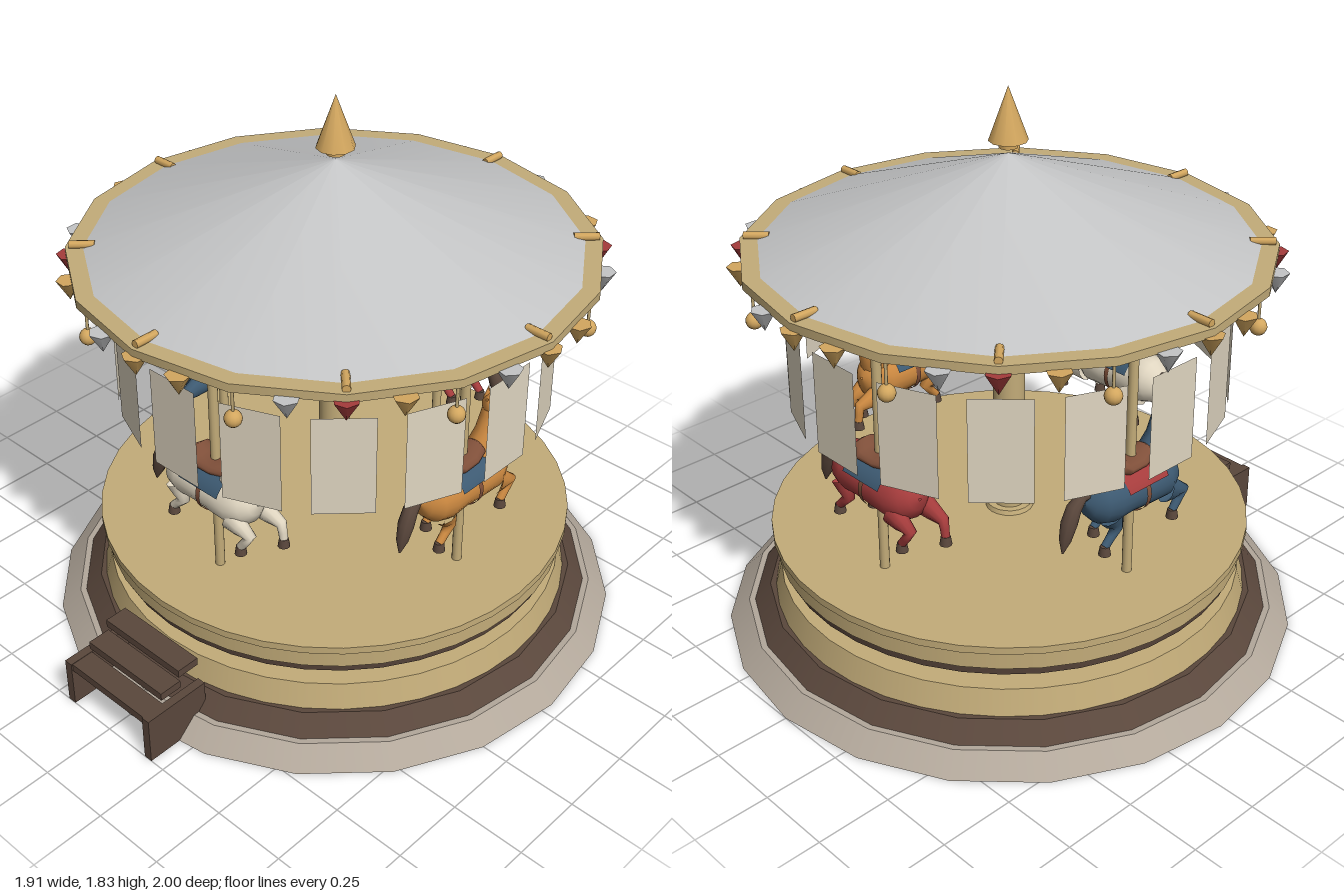
import * as THREE from 'three';

const mat = (name, color, side = THREE.FrontSide) => {
  const m = new THREE.MeshStandardMaterial({ color, side });
  m.name = name;
  return m;
};
const stone = mat('stone', 0xb3a89b);
const darkWood = mat('darkWood', 0x5a473c);
const gold = mat('paleGold', 0xc3ac79);
const brass = mat('brass', 0xd3a75f);
const silver = mat('silver', 0xc4c5c6);
const cream = mat('cream', 0xe0d6c1, THREE.DoubleSide);
const red = mat('red', 0xa53c3c, THREE.DoubleSide);
const blue = mat('blue', 0x3d5a72, THREE.DoubleSide);
const chestnut = mat('chestnut', 0xcb8840);
const leather = mat('leather', 0x80503a, THREE.DoubleSide);

function add(parent, name, geo, material, x = 0, y = 0, z = 0) {
  const m = new THREE.Mesh(geo, material);
  m.name = name;
  m.position.set(x, y, z);
  parent.add(m);
  return m;
}

// upright drum or cone between two heights
function drum(parent, name, rBottom, rTop, y0, y1, sides, material, x = 0, z = 0) {
  const geo = new THREE.CylinderGeometry(rTop, rBottom, y1 - y0, sides);
  return add(parent, name, geo, material, x, (y0 + y1) / 2, z);
}

// repeats a part around the vertical axis; the part is built on the +z side
function around(parent, name, count, build, offset = 0) {
  for (let i = 0; i < count; i++) {
    const g = new THREE.Group();
    g.name = name;
    g.rotation.y = ((i + offset) / count) * Math.PI * 2;
    build(g, i);
    parent.add(g);
  }
}

// smooth skin over elliptical sections [x, y, radius in plane, radius in z, z]
function loft(sections, sides = 14) {
  const pos = [], index = [], last = sections.length - 1;
  sections.forEach(([x, y, a, b = a, z = 0], i) => {
    const p = sections[Math.max(i - 1, 0)], q = sections[Math.min(i + 1, last)];
    const t = new THREE.Vector2(q[0] - p[0], q[1] - p[1]).normalize();
    for (let j = 0; j < sides; j++) {
      const f = (j / sides) * Math.PI * 2, c = Math.cos(f) * a;
      pos.push(x - t.y * c, y + t.x * c, z + Math.sin(f) * b);
      if (i < last) {
        const k = i * sides, n = (j + 1) % sides;
        index.push(k + j, k + n, k + sides + n, k + j, k + sides + n, k + sides + j);
      }
    }
  });
  const g = new THREE.BufferGeometry();
  g.setAttribute('position', new THREE.Float32BufferAttribute(pos, 3));
  g.setIndex(index);
  g.computeVertexNormals();
  return g;
}

// open band wrapped over the horse's barrel, spanning an angle from the top
function wrap(width, ry, rz, half) {
  const g = new THREE.CylinderGeometry(1, 1, width, 28, 1, true, Math.PI / 2 - half, half * 2);
  g.rotateZ(Math.PI / 2);
  // keep the opening underneath
  g.computeBoundingBox();
  if (g.boundingBox.max.y < 0.99) g.rotateX(Math.PI);
  return g.scale(1, ry, rz);
}

// galloping horse facing +x
function makeHorse(coat, cloth) {
  const h = new THREE.Group();
  h.name = 'horse';
  add(h, 'body', loft([
    [-0.197, 0.705, 0.004], [-0.185, 0.703, 0.045, 0.042], [-0.155, 0.7, 0.074, 0.072],
    [-0.11, 0.698, 0.085, 0.084], [-0.04, 0.692, 0.075, 0.079], [0.04, 0.687, 0.077, 0.08],
    [0.11, 0.692, 0.085, 0.085], [0.155, 0.702, 0.066, 0.064], [0.177, 0.706, 0.035, 0.035],
    [0.184, 0.707, 0.004]], 20), coat);
  add(h, 'neck', loft([
    [0.07, 0.69, 0.075, 0.06], [0.11, 0.76, 0.07, 0.055], [0.135, 0.82, 0.053, 0.043],
    [0.142, 0.88, 0.041, 0.034], [0.14, 0.925, 0.026, 0.025], [0.138, 0.938, 0.004]]), coat);
  add(h, 'head', loft([
    [0.112, 0.938, 0.004], [0.124, 0.927, 0.028, 0.026], [0.145, 0.907, 0.04, 0.035],
    [0.168, 0.876, 0.031, 0.028], [0.186, 0.85, 0.024, 0.023], [0.196, 0.834, 0.018, 0.018],
    [0.199, 0.829, 0.003]]), coat);
  for (const s of [-1, 1]) {
    const ear = add(h, 'ear', new THREE.ConeGeometry(0.012, 0.045, 8), coat, 0.14, 0.95, s * 0.02);
    ear.rotation.z = -0.2;
  }
  add(h, 'tail', loft([
    [-0.175, 0.73, 0.012], [-0.21, 0.735, 0.018], [-0.242, 0.71, 0.025], [-0.262, 0.665, 0.027],
    [-0.277, 0.615, 0.02], [-0.288, 0.57, 0.003]], 10), darkWood);

  // legs: hip, knee and ankle, each ending in a hoof
  const legs = [
    [-0.13, 0.66, -0.105, 0.605, -0.155, 0.555, 1], [-0.12, 0.66, -0.055, 0.61, -0.105, 0.558, -1],
    [0.11, 0.65, 0.195, 0.615, 0.15, 0.555, 1], [0.13, 0.66, 0.235, 0.635, 0.243, 0.58, -1]];
  for (const [x0, y0, x1, y1, x2, y2, s] of legs) {
    const z = s * 0.048;
    add(h, 'leg', loft([
      [x0, y0, 0.045, 0.035, z], [(x0 + x1) / 2, (y0 + y1) / 2, 0.033, 0.027, z],
      [x1, y1, 0.02, 0.019, z], [(x1 + x2) / 2, (y1 + y2) / 2, 0.015, 0.015, z],
      [x2, y2, 0.014, 0.014, z]], 10), coat);
    drum(h, 'hoof', 0.02, 0.015, y2 - 0.026, y2 + 0.004, 10, darkWood, x2, z);
  }

  // saddle
  add(h, 'saddleCloth', wrap(0.17, 0.09, 0.09, 1.15), cloth, 0, 0.687, 0);
  add(h, 'girth', wrap(0.018, 0.081, 0.084, Math.PI), leather, 0, 0.689, 0);
  add(h, 'saddleSeat', loft([
    [-0.09, 0.805, 0.004], [-0.08, 0.798, 0.03, 0.045], [-0.045, 0.778, 0.025, 0.056],
    [0.02, 0.776, 0.023, 0.052], [0.065, 0.79, 0.03, 0.04], [0.08, 0.8, 0.004]]), leather);
  return h;
}

export function createModel() {
  const model = new THREE.Group();
  model.name = 'carousel';
  const ride = new THREE.Group();
  ride.name = 'ride';
  ride.position.z = -0.043;
  model.add(ride);

  // stepped base
  drum(ride, 'stoneBase', 0.957, 0.89, 0, 0.062, 20, stone);
  drum(ride, 'woodPlinth', 0.87, 0.815, 0.062, 0.12, 20, darkWood);
  drum(ride, 'goldPlinth', 0.795, 0.772, 0.12, 0.205, 40, gold);
  drum(ride, 'turntableHub', 0.2, 0.2, 0.205, 0.255, 24, gold);

  // rotating deck
  drum(ride, 'deckSkirt', 0.765, 0.77, 0.255, 0.287, 40, darkWood);
  drum(ride, 'deckSide', 0.78, 0.78, 0.287, 0.35, 40, gold);
  drum(ride, 'deckTop', 0.794, 0.794, 0.35, 0.375, 40, gold);

  // centre column
  drum(ride, 'columnFoot', 0.08, 0.075, 0.375, 0.39, 20, gold);
  drum(ride, 'column', 0.052, 0.052, 0.39, 1.31, 20, gold);

  // canopy and finial
  drum(ride, 'canopyRim', 0.838, 0.838, 1.305, 1.333, 16, gold);
  add(ride, 'canopy', new THREE.ConeGeometry(0.785, 0.29, 16), silver, 0, 1.477, 0);
  drum(ride, 'finialNeck', 0.03, 0.03, 1.64, 1.665, 10, brass);
  add(ride, 'finial', new THREE.ConeGeometry(0.062, 0.17, 10), brass, 0, 1.748, 0);
  around(ride, 'rimPeg', 8, (g) => {
    const peg = add(g, 'peg', new THREE.CylinderGeometry(0.013, 0.013, 0.08, 8), brass, 0, 1.342, 0.785);
    peg.rotation.x = Math.PI / 2;
  });

  // pennants in groups of three, with lamps between the groups
  around(ride, 'pennantGroup', 8, (g, i) => {
    [silver, i % 2 ? red : brass, brass].forEach((m, k) => {
      const a = (k - 1) * Math.PI / 16;
      const p = add(g, 'pennant', new THREE.ConeGeometry(0.04, 0.068, 6), m,
        Math.sin(a) * 0.828, 1.275, Math.cos(a) * 0.828);
      p.rotation.set(Math.PI, a, 0, 'YXZ');
    });
  });
  around(ride, 'lamp', 8, (g) => {
    drum(g, 'lampRod', 0.005, 0.005, 1.215, 1.31, 6, gold, 0, 0.81);
    add(g, 'lampBulb', new THREE.SphereGeometry(0.027, 14, 10), brass, 0, 1.2, 0.81);
  }, 0.5);

  // ring of hanging panels
  around(ride, 'hangingPanel', 16, (g) => {
    add(g, 'panel', new THREE.PlaneGeometry(0.19, 0.34), cream, 0, 0.988, 0.7);
  });

  // four horses on poles
  const coats = [[cream, blue], [chestnut, blue], [red, blue], [blue, red]];
  around(ride, 'mount', 4, (g, i) => {
    drum(g, 'horsePole', 0.016, 0.016, 0.375, 1.31, 12, gold, 0, 0.54);
    const horse = makeHorse(...coats[i]);
    horse.position.z = 0.54;
    g.add(horse);
  });

  // entrance steps
  for (const s of [-1, 1])
    add(model, 'stepSide', new THREE.BoxGeometry(0.03, 0.165, 0.235), darkWood, s * 0.183, 0.0825, 0.8825);
  for (let i = 0; i < 3; i++)
    add(model, 'stepTread', new THREE.BoxGeometry(0.34, 0.027, 0.08), darkWood,
      0, 0.15 + i * 0.044, 0.955 - i * 0.075);
  return model;
}
